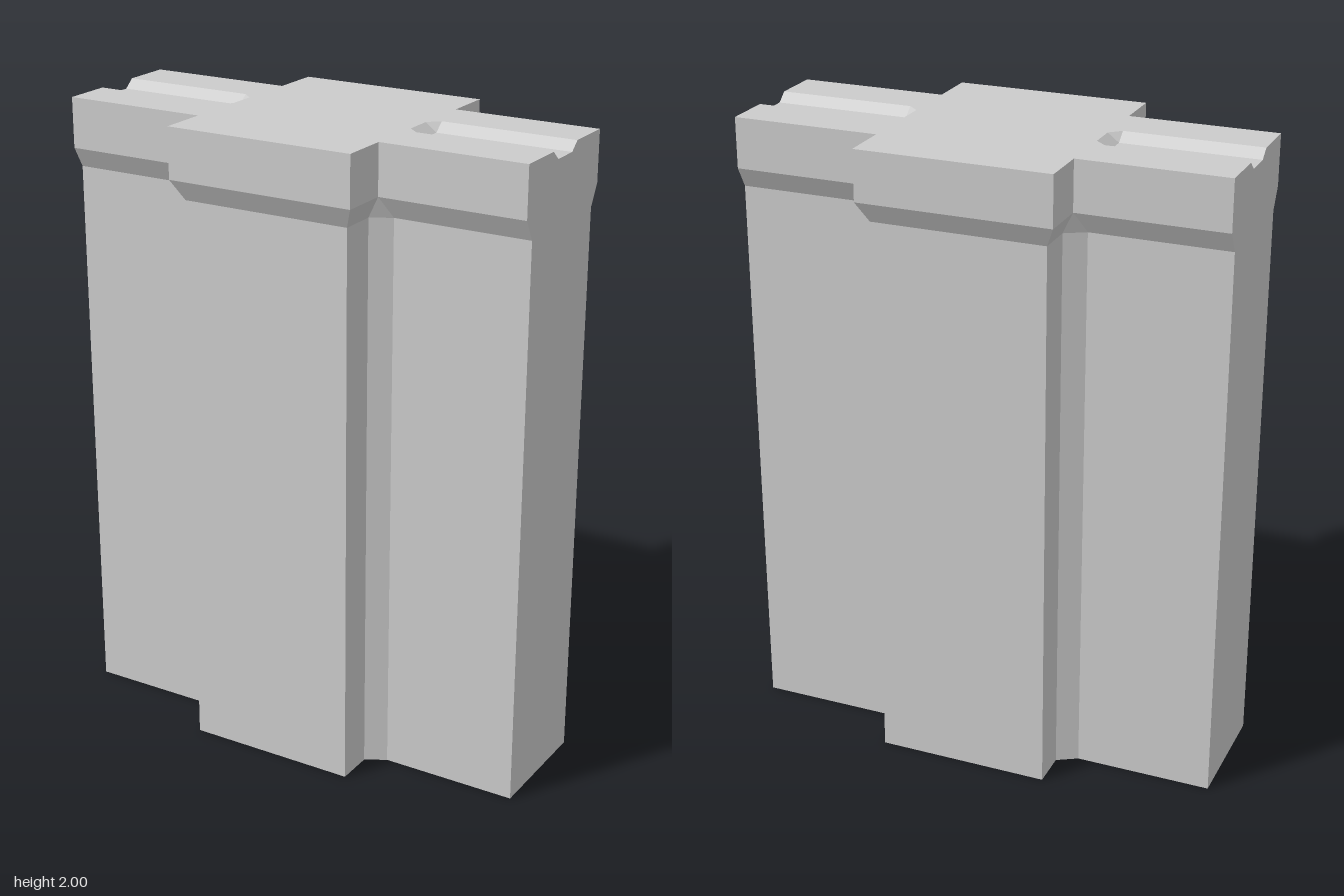
import * as THREE from 'three';

const W = 0.77; // half width of the wings

// Mirrors a quarter outline [x, z] (from the x axis to the z axis) into a closed loop
function mirrorLoop(q) {
  const flip = (sx, sz) => q.map(([x, z]) => [x * sx, z * sz]);
  return [...q, ...flip(-1, 1).reverse(), ...flip(-1, -1), ...flip(1, -1).reverse()];
}

// Flat-faced skin through stacked loops, with optional end caps
function loft(levels, capBottom, capTop) {
  const pos = [];
  const tri = (...pts) => pts.forEach((p) => pos.push(...p));
  const at = ({ y, loop }, i) => {
    const [x, z] = loop[i % loop.length];
    return [x, y, z];
  };
  for (let k = 0; k < levels.length - 1; k++) {
    const lo = levels[k], hi = levels[k + 1];
    for (let i = 0; i < lo.loop.length; i++) {
      const a = at(lo, i), b = at(lo, i + 1), c = at(hi, i + 1), d = at(hi, i);
      tri(a, d, c);
      tri(a, c, b);
    }
  }
  const cap = (level, up) => {
    const pts = level.loop.map(([x, z]) => new THREE.Vector2(x, z));
    for (const [a, b, c] of THREE.ShapeUtils.triangulateShape(pts, [])) {
      const [p, q, r] = [at(level, a), at(level, b), at(level, c)];
      up ? tri(p, r, q) : tri(p, q, r);
    }
  };
  if (capBottom) cap(levels[0], false);
  if (capTop) cap(levels[levels.length - 1], true);
  const g = new THREE.BufferGeometry();
  g.setAttribute('position', new THREE.Float32BufferAttribute(pos, 3));
  g.computeVertexNormals();
  return g;
}

export function createModel() {
  const group = new THREE.Group();
  const material = new THREE.MeshStandardMaterial({ color: 0xcccccc, flatShading: true });
  const add = (name, geometry) => {
    const mesh = new THREE.Mesh(geometry, material);
    mesh.name = name;
    group.add(mesh);
    return mesh;
  };

  const floorY = 1.973, floorHalf = 0.045, floorEnd = 0.34;

  // Cross-shaped shaft with bevelled inner corners, flaring out under the head
  const section = (y, cx, cz, ox, wz) => ({
    y, loop: mirrorLoop([[W, wz], [ox, wz], [cx, 0.23], [cx, cz]]),
  });
  add('shaft', loft([
    section(0, 0.274, 0.349, 0.337, 0.194),
    section(1.777, 0.274, 0.349, 0.337, 0.194),
    section(1.842, 0.305, 0.385, 0.305, 0.23),
    section(floorY, 0.305, 0.385, 0.305, 0.23),
  ], true, false));

  // Top slab, whose outline is notched by a sloping-sided groove in each wing
  const notched = (y, end, half) => ({
    y, loop: mirrorLoop([[end, floorHalf], [floorEnd, half], [W, half],
      [W, 0.23], [0.305, 0.23], [0.305, 0.385]]),
  });
  add('topSlab', loft([
    notched(floorY, floorEnd, floorHalf),
    notched(2, 0.305, 0.077),
  ], false, true));

  // Groove floors
  for (const [side, name] of [[1, 'leftGrooveFloor'], [-1, 'rightGrooveFloor']]) {
    const floor = new THREE.PlaneGeometry(W - floorEnd, floorHalf * 2).rotateX(-Math.PI / 2);
    add(name, floor).position.set(side * (W + floorEnd) / 2, floorY, 0);
  }
  return group;
}
